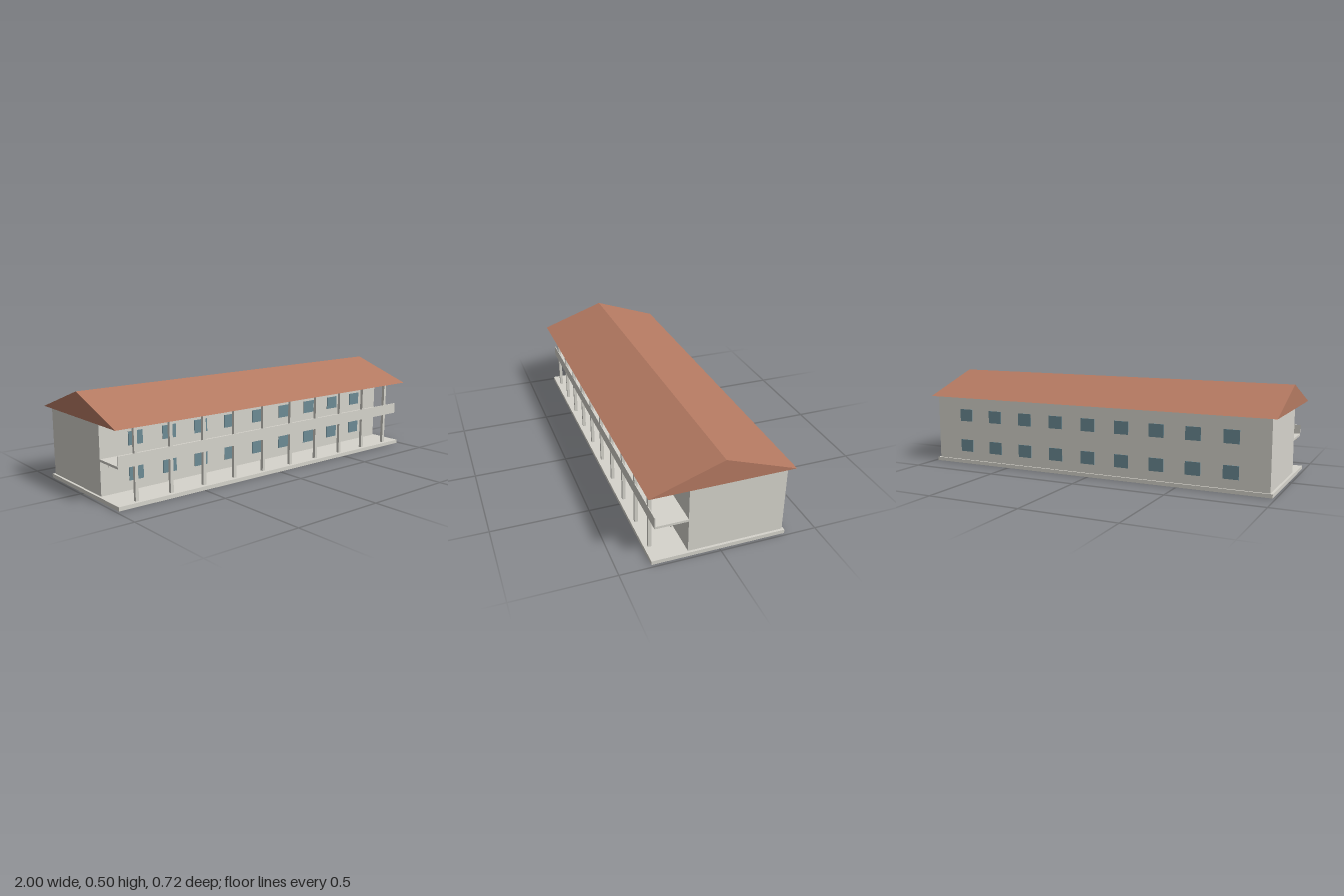
import * as THREE from 'three';

export function createModel() {
  const model = new THREE.Group();
  model.name = 'galleryBuilding';

  const material = (name, color) => {
    const m = new THREE.MeshStandardMaterial({ color });
    m.name = name;
    return m;
  };
  const plaster = material('plaster', 0xd6d4cc);
  const roofTile = material('roofTile', 0xb57a62);
  const glass = material('glass', 0x6c8b95);

  // Box given by its lower and upper limits on each axis
  const block = (name, mat, [x0, x1], [y0, y1], [z0, z1], parent = model) => {
    const mesh = new THREE.Mesh(new THREE.BoxGeometry(x1 - x0, y1 - y0, z1 - z0), mat);
    mesh.position.set((x0 + x1) / 2, (y0 + y1) / 2, (z0 + z1) / 2);
    mesh.name = name;
    parent.add(mesh);
    return mesh;
  };

  const length = [-0.972, 0.972];
  const wallFront = 0.156, wallBack = -0.331;
  const eaves = 0.38;

  // Foundation and main body
  block('foundation', plaster, [-0.985, 0.985], [0, 0.02], [-0.34, 0.34]);
  block('mainBody', plaster, length, [0.02, eaves], [wallBack, wallFront]);

  // Upper gallery: floor, parapet and the beam beneath
  block('galleryFloor', plaster, length, [0.19, 0.202], [wallFront, 0.321]);
  block('galleryParapet', plaster, length, [0.202, 0.25], [0.317, 0.321]);
  block('galleryBeam', plaster, length, [0.181, 0.19], [0.237, 0.243]);

  // Row of ten columns from foundation to eaves
  const bay = 0.1945;
  const columns = new THREE.Group();
  columns.name = 'columns';
  model.add(columns);
  for (let i = 0; i < 10; i++) {
    const x = (i - 4.5) * bay;
    block('column', plaster, [x - 0.0085, x + 0.0085], [0.02, eaves], [0.304, 0.3205], columns);
  }

  // Nine windows per storey, front and back
  const windows = new THREE.Group();
  windows.name = 'windows';
  model.add(windows);
  for (const z of [wallFront, wallBack]) {
    for (const y of [0.069, 0.244]) {
      for (let i = 0; i < 9; i++) {
        const x = (i - 4) * bay;
        block('window', glass, [x - 0.04, x + 0.04], [y, y + 0.068], [z - 0.004, z + 0.004], windows);
      }
    }
  }

  // Gabled roof prism
  const gable = new THREE.Shape([
    new THREE.Vector2(-0.36, eaves),
    new THREE.Vector2(0.36, eaves),
    new THREE.Vector2(0, 0.505),
  ]);
  const roofGeometry = new THREE.ExtrudeGeometry(gable, { depth: 2, bevelEnabled: false });
  roofGeometry.translate(0, 0, -1).rotateY(Math.PI / 2);
  const roof = new THREE.Mesh(roofGeometry, roofTile);
  roof.name = 'roof';
  model.add(roof);

  return model;
}
